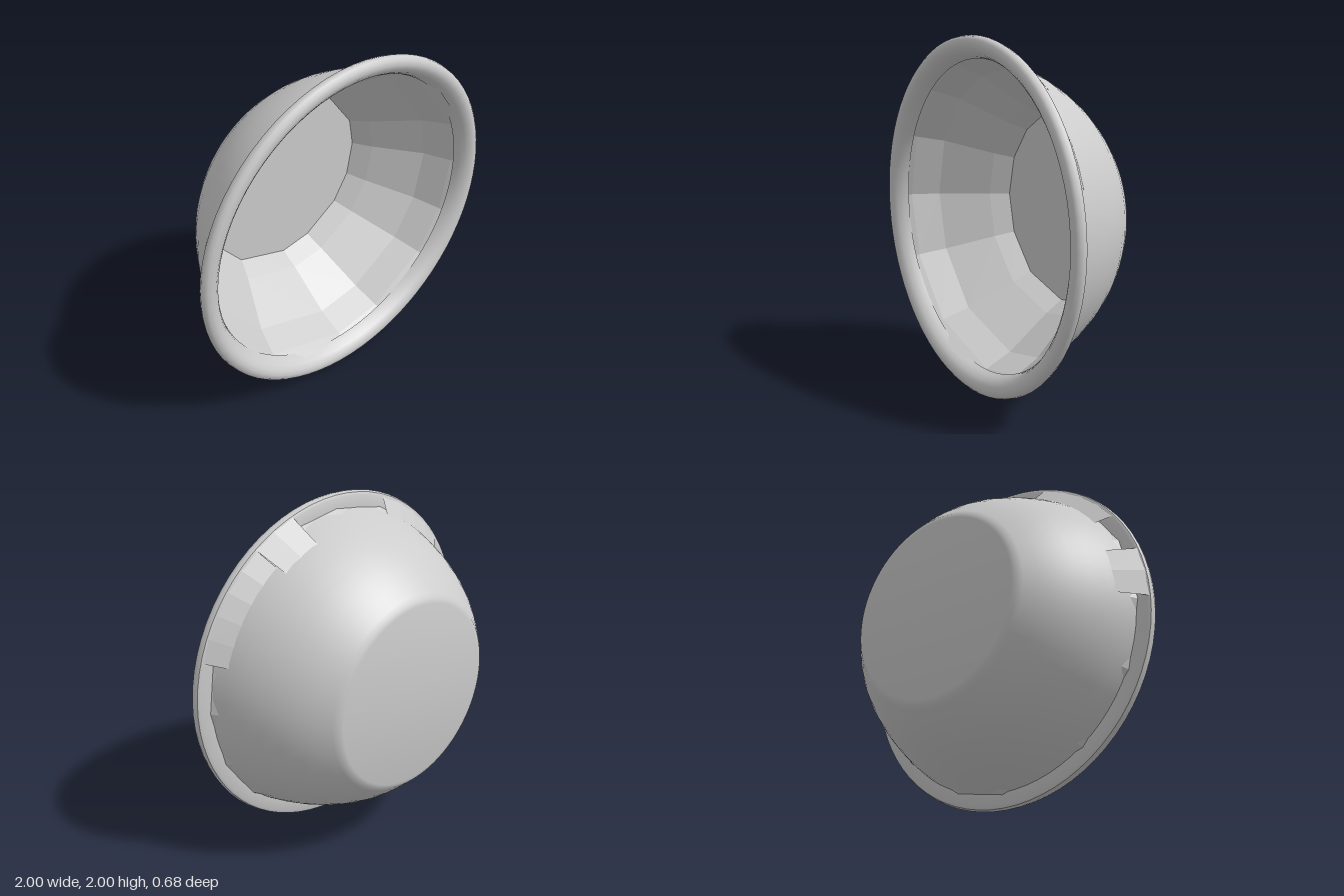
import * as THREE from 'three';
import { mergeGeometries, toCreasedNormals } from 'three/addons/utils/BufferGeometryUtils.js';

const rad = THREE.MathUtils.degToRad;

// Revolve [radius, z] points about the z axis, from angle a to b (degrees, counted from +x towards +y)
function revolve(profile, segments, a = 0, b = 360) {
  const points = profile.map(([r, z]) => new THREE.Vector2(r, z));
  return new THREE.LatheGeometry(points, segments, rad(a + 90), rad(b - a)).rotateX(Math.PI / 2);
}

export function createModel() {
  const model = new THREE.Group();
  const grey = new THREE.MeshStandardMaterial({ color: 0xcccccc });
  grey.name = 'grey';
  const facetGrey = grey.clone();
  facetGrey.name = 'grey faceted';
  facetGrey.flatShading = true;
  facetGrey.side = THREE.DoubleSide;

  function add(name, geometry, material) {
    const mesh = new THREE.Mesh(geometry, material);
    mesh.name = name;
    mesh.position.y = 1;
    model.add(mesh);
  }

  // Smooth outer wall with its flat base
  add('outerWall', toCreasedNormals(revolve([
    [0, -0.34], [0.53, -0.34], [0.555, -0.333], [0.58, -0.31], [0.64, -0.25], [0.7, -0.18],
    [0.755, -0.1], [0.81, 0], [0.853, 0.1], [0.885, 0.19], [0.91, 0.28],
  ], 72), 0.6), grey);

  // Rounded rim
  add('rim', toCreasedNormals(revolve([
    [0.9, 0.272], [0.975, 0.272], [0.992, 0.28], [1, 0.3], [0.995, 0.322], [0.98, 0.335],
    [0.955, 0.34], [0.93, 0.332], [0.905, 0.312], [0.885, 0.28], [0.875, 0.25],
  ], 72), 0.7), grey);

  // Inner wall and floor, in broad uneven facets
  const angles = [0, 18, 55, 72, 90, 111, 131, 155, 180, 205, 235, 270, 290, 318, 338, 360];
  const inside = [[0.93, 0.29], [0.89, 0.22], [0.82, 0.06], [0.63, -0.2], [0.565, -0.31], [0, -0.31]];
  add('innerWall', mergeGeometries(angles.slice(1).map((b, i) => revolve(inside, 1, angles[i], b))), facetGrey);

  // Sloping braces behind the rim: start angle, end angle, root radius, root z
  const braces = [[18, 56, 0.875, 0.18], [56, 72, 0.855, 0.12], [111, 145, 0.885, 0.2], [162, 180, 0.855, 0.12]];
  add('rimBraces', mergeGeometries(braces.map(([a, b, r, z]) =>
    revolve([[r, z], [0.993, 0.285]], Math.ceil((b - a) / 9), a, b))), facetGrey);

  return model;
}
